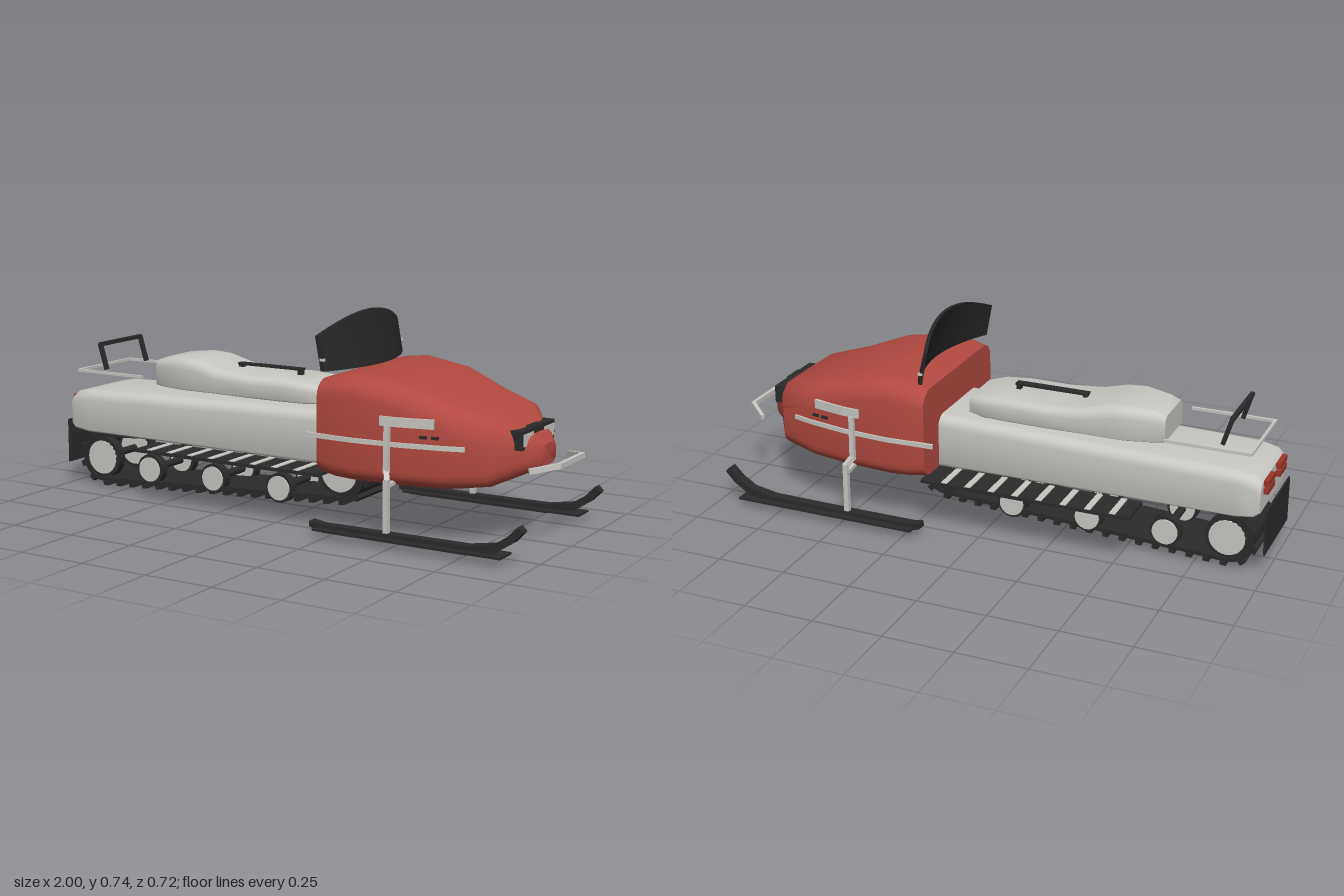
import * as THREE from 'three';
import { toCreasedNormals } from 'three/addons/utils/BufferGeometryUtils.js';

const mat = (name, color) => Object.assign(new THREE.MeshStandardMaterial({ color }), { name });

// Closed loft along x; each station is [x, bottom, top, halfWidth, topRadius, bottomRadius]
function loft(stations, crease = 0.7) {
  const pos = [], idx = [], steps = 5, n = 4 * (steps + 1);
  for (const [x, yb, yt, w, rt, rb] of stations) {
    for (let c = 0; c < 4; c++) {
      const r = c < 2 ? rt : rb;
      const cz = (c === 0 || c === 3 ? 1 : -1) * (w - r), cy = c < 2 ? yt - r : yb + r;
      for (let k = 0; k <= steps; k++) {
        const a = (c + k / steps) * Math.PI / 2;
        pos.push(x, cy + r * Math.sin(a), cz + r * Math.cos(a));
      }
    }
  }
  const last = stations.length - 1;
  for (let i = 0; i < last; i++) for (let j = 0; j < n; j++) {
    const a = i * n + j, b = i * n + (j + 1) % n;
    idx.push(a, a + n, b, b, a + n, b + n);
  }
  for (const i of [0, last]) {
    const [x, yb, yt] = stations[i], centre = pos.length / 3;
    pos.push(x, (yb + yt) / 2, 0);
    for (let j = 0; j < n; j++) {
      const a = i * n + j, b = i * n + (j + 1) % n;
      idx.push(centre, ...(i ? [b, a] : [a, b]));
    }
  }
  const g = new THREE.BufferGeometry();
  g.setAttribute('position', new THREE.Float32BufferAttribute(pos, 3));
  g.setIndex(idx);
  return toCreasedNormals(g, crease);
}

export function createModel() {
  const model = new THREE.Group();
  model.name = 'snowmobile';
  const red = mat('hoodRed', 0xb34a40), grey = mat('lightGrey', 0xc8c7c2), black = mat('black', 0x2b2b2b);
  const glass = mat('darkShield', 0x262626), lamp = mat('tailLampRed', 0x9c3528);

  const add = (name, geo, material, x = 0, y = 0, z = 0) => {
    const m = new THREE.Mesh(geo, material);
    m.name = name;
    m.position.set(x, y, z);
    model.add(m);
    return m;
  };
  // Box given by its limits on each axis
  const box = (name, material, x0, x1, y0, y1, z0, z1) => add(name,
    new THREE.BoxGeometry(x1 - x0, y1 - y0, Math.abs(z1 - z0)), material, (x0 + x1) / 2, (y0 + y1) / 2, (z0 + z1) / 2);
  // Chain of square bars through points
  const bars = (name, material, pts, w, h = w) => {
    for (let i = 0; i + 1 < pts.length; i++) {
      const a = new THREE.Vector3(...pts[i]), b = new THREE.Vector3(...pts[i + 1]);
      const m = add(name, new THREE.BoxGeometry(w, h, a.distanceTo(b) + w * 0.5), material);
      m.position.copy(a).lerp(b, 0.5);
      m.lookAt(b);
    }
  };

  // Hood
  const hood = [
    [0.19, 0.21, 0.53, 0.288, 0.06, 0.05], [0.25, 0.2, 0.545, 0.296, 0.065, 0.05],
    [0.33, 0.197, 0.555, 0.3, 0.07, 0.05], [0.5, 0.197, 0.53, 0.288, 0.075, 0.05],
    [0.65, 0.197, 0.475, 0.26, 0.08, 0.05], [0.785, 0.213, 0.44, 0.222, 0.085, 0.05],
    [0.85, 0.24, 0.395, 0.125, 0.06, 0.05], [0.885, 0.257, 0.367, 0.098, 0.045, 0.04],
    [0.91, 0.27, 0.342, 0.06, 0.03, 0.03]];
  add('hood', loft(hood), red);
  const hoodZ = x => {
    const i = Math.max(1, hood.findIndex(s => s[0] >= x)), [a, b] = [hood[i - 1], hood[i]];
    return a[3] + (b[3] - a[3]) * (x - a[0]) / (b[0] - a[0]);
  };

  // Windshield: a box bent into a curved, raked sheet
  const shield = new THREE.BoxGeometry(1, 1, 2, 1, 4, 20), p = shield.attributes.position;
  for (let i = 0; i < p.count; i++) {
    const t = p.getZ(i), v = p.getY(i) + 0.5, q = t * t;
    const x = THREE.MathUtils.lerp(0.28 - 0.075 * q, 0.228 - 0.045 * q, v);
    p.setXYZ(i, x + p.getX(i) * 0.014, 0.557 + v * (0.183 - 0.065 * q), t * 0.275);
  }
  shield.computeVertexNormals();
  add('windshield', shield, glass);

  // Tunnel body and seat
  add('tunnelBody', loft([
    [-0.975, 0.235, 0.345, 0.155, 0.035, 0.01], [-0.955, 0.222, 0.362, 0.163, 0.04, 0.01],
    [-0.89, 0.215, 0.375, 0.167, 0.04, 0.01], [-0.55, 0.215, 0.382, 0.167, 0.04, 0.01],
    [0.2, 0.21, 0.4, 0.167, 0.04, 0.01]]), grey);
  add('seat', loft([
    [-0.62, 0.41, 0.502, 0.095, 0.025, 0.004], [-0.58, 0.408, 0.516, 0.108, 0.035, 0.004],
    [-0.49, 0.408, 0.525, 0.13, 0.04, 0.004], [-0.42, 0.408, 0.52, 0.132, 0.04, 0.004],
    [-0.33, 0.408, 0.495, 0.132, 0.035, 0.004], [-0.2, 0.406, 0.482, 0.132, 0.03, 0.004],
    [-0.05, 0.406, 0.484, 0.13, 0.03, 0.004], [0.04, 0.406, 0.478, 0.125, 0.03, 0.004],
    [0.1, 0.408, 0.465, 0.1, 0.025, 0.004]]), grey);
  box('seatStrap', black, -0.31, -0.04, 0.5, 0.508, -0.014, 0.014);
  for (const x of [-0.3, -0.05]) box('strapMount', black, x - 0.008, x + 0.008, 0.475, 0.502, -0.01, 0.01);

  // Rear rack, grab hoop, flap and tail lamps
  bars('rearRack', grey, [[-0.64, 0.445, 0.155], [-0.935, 0.445, 0.155], [-0.935, 0.445, -0.155], [-0.64, 0.445, -0.155]], 0.01);
  bars('grabHoop', black, [[-0.83, 0.455, 0.122], [-0.857, 0.545, 0.122], [-0.857, 0.545, -0.122], [-0.83, 0.455, -0.122]], 0.014);
  box('snowFlap', black, -1, -0.994, 0.085, 0.25, -0.15, 0.15);
  for (const s of [-1, 1]) for (const y of [0.305, 0.334])
    box('tailLamp', lamp, -0.992, -0.965, y - 0.01, y + 0.01, s * 0.035, s * 0.12);

  // Track belt around the two end wheels, as a band with raised lugs
  const A = new THREE.Vector2(-0.86, 0.112), B = new THREE.Vector2(0.18, 0.178), RA = 0.092, RB = 0.1;
  const d = B.clone().sub(A), lean = Math.asin((RB - RA) / d.length());
  const top = d.angle() + Math.PI / 2 + lean, bottom = d.angle() - Math.PI / 2 - lean;
  const beltPoints = shrink => {
    const pts = [], arc = (c, r, a0, a1) => {
      for (let k = 0; k <= 16; k++) {
        const a = a0 + (a1 - a0) * k / 16;
        pts.push(new THREE.Vector2(c.x + r * Math.cos(a), c.y + r * Math.sin(a)));
      }
    };
    arc(B, RB - shrink, bottom, top);
    arc(A, RA - shrink, top, bottom + 2 * Math.PI);
    return pts;
  };
  const outline = beltPoints(0), band = new THREE.Shape(outline);
  band.holes.push(new THREE.Path(beltPoints(0.014)));
  add('trackBelt', new THREE.ExtrudeGeometry(band, { depth: 0.24, bevelEnabled: false }), black, 0, 0, -0.12);
  const loop = new THREE.CurvePath();
  outline.forEach((a, i) => loop.add(new THREE.LineCurve(a, outline[(i + 1) % outline.length])));
  for (let i = 0; i < 44; i++) {
    const at = loop.getPointAt(i / 44), dir = loop.getTangentAt(i / 44);
    const lug = add('trackLug', new THREE.BoxGeometry(0.022, 0.024, 0.236), black,
      at.x + dir.y * 0.005, Math.max(0.0125, at.y - dir.x * 0.005), 0);
    lug.rotation.z = Math.atan2(dir.y, dir.x);
  }

  // Wheels in pairs, with dark tyres and axles
  for (const [x, y, r, teeth] of [[A.x, A.y, 0.078, 20], [B.x, B.y, 0.086, 20], [-0.64, 0.09, 0.056, 0], [-0.355, 0.09, 0.054, 0], [-0.07, 0.09, 0.054, 0]]) {
    const disc = (name, radius, len, material, z) => {
      add(name, new THREE.CylinderGeometry(radius, radius, len, 28), material, x, y, z).rotation.x = Math.PI / 2;
    };
    disc('axle', 0.014, 0.2, black, 0);
    for (const s of [-1, 1]) {
      disc('wheelTyre', r, 0.034, black, s * 0.1);
      disc('wheelHub', r * 0.82, 0.046, grey, s * 0.1);
      for (let k = 0; k < teeth; k++) {
        const a = k / teeth * 2 * Math.PI;
        const t = add('wheelTooth', new THREE.BoxGeometry(0.012, 0.01, 0.042), black,
          x + r * 0.84 * Math.cos(a), y + r * 0.84 * Math.sin(a), s * 0.1);
        t.rotation.z = a;
      }
    }
  }

  // Ski side profile with upturned tip
  const ski = new THREE.Shape([[0.19, 0.055], [0.19, 0.035], [0.24, 0.02], [0.78, 0.02], [0.88, 0.042],
    [0.94, 0.082], [0.975, 0.12], [0.957, 0.138], [0.92, 0.1], [0.87, 0.068], [0.78, 0.052], [0.24, 0.048]]
    .map(q => new THREE.Vector2(...q)));
  const skiGeo = new THREE.ExtrudeGeometry(ski, { depth: 0.036, bevelEnabled: false });

  for (const s of [-1, 1]) {
    // Running board with light treads
    box('runningBoard', black, -0.57, 0.2, 0.198, 0.21, s * 0.16, s * 0.297);
    for (let i = 0; i < 8; i++) {
      const x = -0.508 + i * 0.0885;
      box('boardTread', grey, x - 0.011, x + 0.011, 0.208, 0.213, s * 0.167, s * 0.295);
    }
    // Ski and its strut
    add('ski', skiGeo, black, 0, 0, s * 0.318 - 0.018);
    box('skiPlate', black, 0.215, 0.91, 0.029, 0.036, s * 0.275, s * 0.361);
    bars('skiStrut', grey, [[0.48, 0.05, s * 0.324], [0.48, 0.225, s * 0.324], [0.465, 0.25, s * 0.298], [0.465, 0.4, s * 0.296]], 0.018);
    bars('skiArm', grey, [[0.475, 0.205, s * 0.318], [0.475, 0.215, s * 0.25]], 0.02, 0.014);
    // Hood side trim, badge plate and vents
    const along = (xs, y, out) => xs.map(x => [x, y, s * (hoodZ(x) + out)]);
    bars('sideTrim', grey, [[0.155, 0.342, s * 0.295], ...along([0.25, 0.33, 0.5, 0.65, 0.72], 0.342, 0.002)], 0.01, 0.016);
    bars('sidePlate', grey, along([0.44, 0.5, 0.62], 0.418, 0.002), 0.012, 0.032);
    for (const x of [0.575, 0.615]) bars('sideVent', black, along([x, x + 0.022], 0.373, 0.001), 0.008, 0.01);
    // Headlight
    box('headlightFrame', black, 0.825, 0.872, 0.333, 0.397, s * 0.035, s * 0.13);
    box('headlightLens', grey, 0.87, 0.876, 0.345, 0.385, s * 0.045, s * 0.12);
    // Shield fastener
    box('shieldBolt', grey, 0.195, 0.212, 0.591, 0.6, s * 0.268, s * 0.278);
  }
  box('headlightBridge', black, 0.84, 0.874, 0.377, 0.4, -0.04, 0.04);

  // Front bumper
  bars('frontBumper', grey, [[0.915, 0.277, 0.16], [0.99, 0.292, 0.095], [0.99, 0.292, -0.095], [0.915, 0.277, -0.16]], 0.014, 0.018);
  return model;
}
